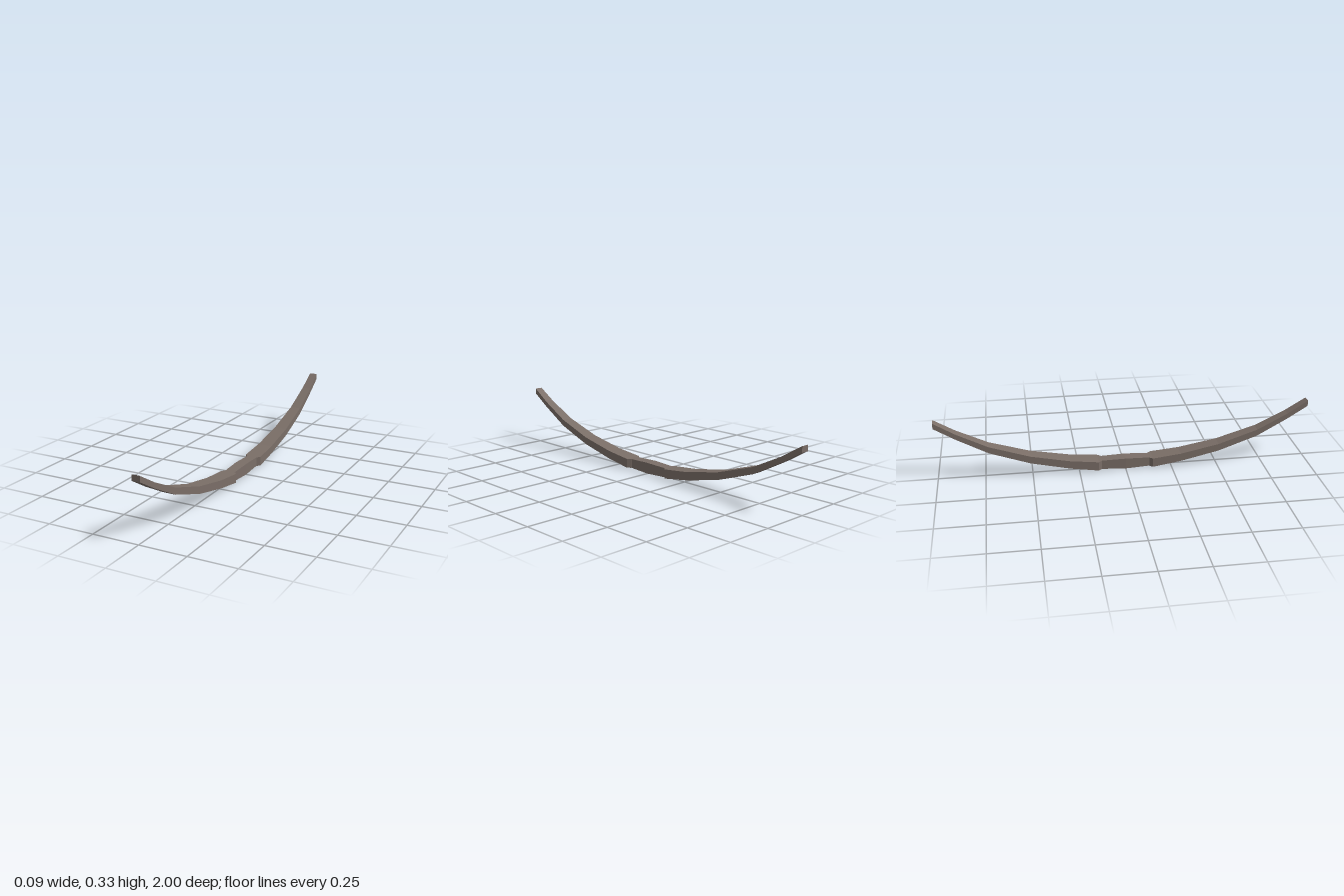
import * as THREE from 'three';

// Cross-sections along z: [z, bottom y, top y, half width]
const LIMB = [
  [0.13, 0.006, 0.056, 0.03],
  [0.147, 0.006, 0.056, 0.045],
  [0.3, 0.028, 0.072, 0.041],
  [0.51, 0.073, 0.113, 0.036],
  [0.725, 0.146, 0.182, 0.03],
  [0.89, 0.235, 0.265, 0.025],
  [1, 0.302, 0.333, 0.022],
];
const GRIP = [
  [-0.13, 0.006, 0.056, 0.028],
  [0, 0, 0.06, 0.031],
  [0.13, 0.006, 0.056, 0.028],
];

// Closed loft through rectangular sections
function loft(sections) {
  const positions = [];
  const index = [];
  const quad = (a, b, c, d) => index.push(a, b, c, a, c, d);
  for (const [z, low, high, w] of sections) {
    positions.push(-w, low, z, w, low, z, w, high, z, -w, high, z);
  }
  for (let s = 0; s < sections.length - 1; s++) {
    const a = s * 4;
    for (let i = 0; i < 4; i++) {
      const j = (i + 1) % 4;
      quad(a + i, a + j, a + 4 + j, a + 4 + i);
    }
  }
  const e = (sections.length - 1) * 4;
  quad(0, 3, 2, 1);
  quad(e, e + 1, e + 2, e + 3);
  const geometry = new THREE.BufferGeometry();
  geometry.setAttribute('position', new THREE.Float32BufferAttribute(positions, 3));
  geometry.setIndex(index);
  const flat = geometry.toNonIndexed();
  flat.computeVertexNormals();
  return flat;
}

export function createModel() {
  const model = new THREE.Group();
  model.name = 'bow';
  const wood = new THREE.MeshStandardMaterial({ color: 0x7a6e67, flatShading: true });
  wood.name = 'greyBrownWood';

  const add = (name, geometry) => {
    const mesh = new THREE.Mesh(geometry, wood);
    mesh.name = name;
    model.add(mesh);
    return mesh;
  };

  // Narrow handle in the middle
  add('grip', loft(GRIP));

  // Two tapering curved limbs, one turned to the back
  const limb = loft(LIMB);
  add('frontLimb', limb);
  add('backLimb', limb).rotation.y = Math.PI;

  return model;
}
